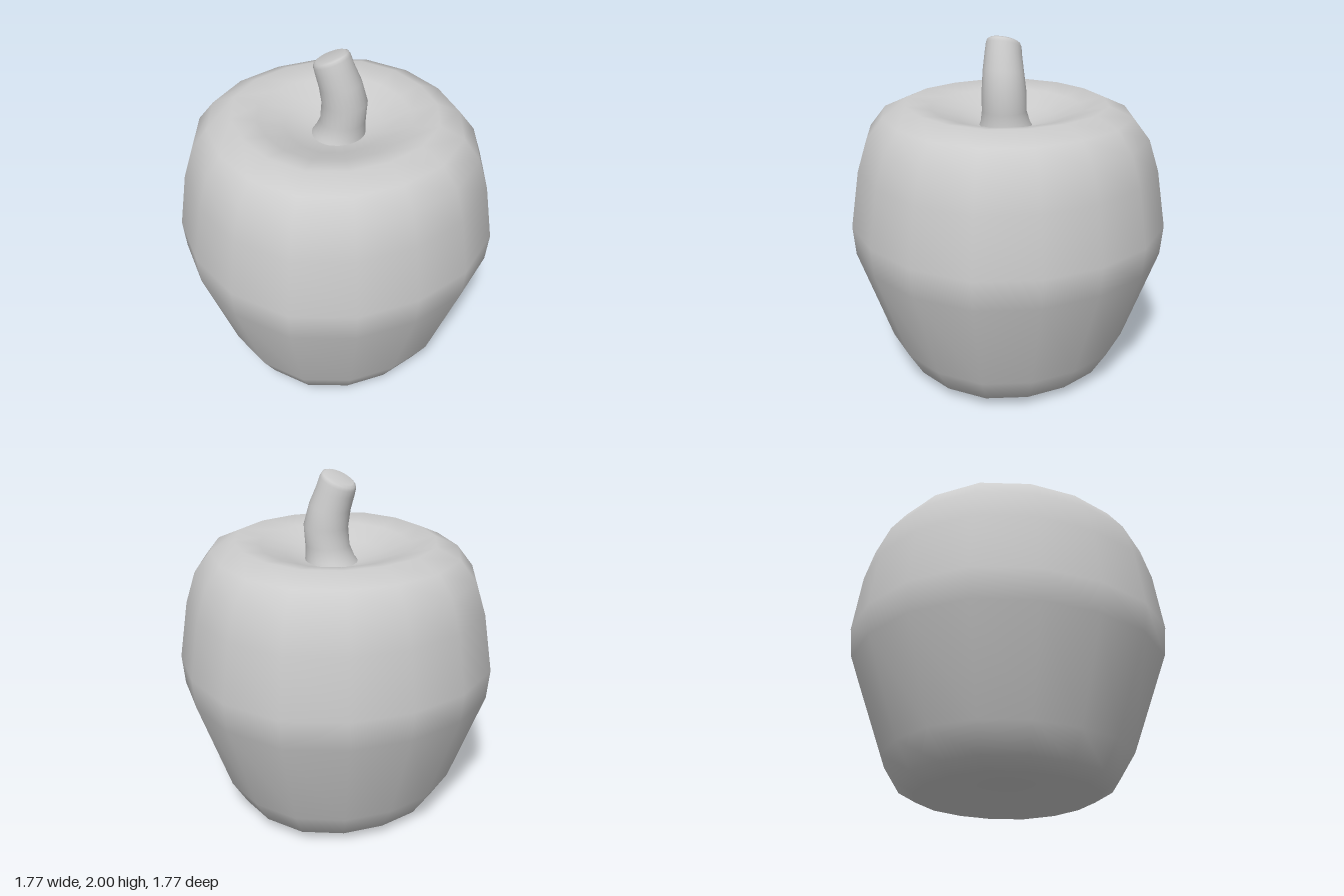
import * as THREE from 'three';
import { mergeVertices } from 'three/addons/utils/BufferGeometryUtils.js';

const material = new THREE.MeshStandardMaterial({ color: 0xcccccc });

// Revolve [radius, y] rows, move each vertex by rule(vertex, row), then weld and smooth.
function revolve(name, rows, sides, rule) {
  let geo = new THREE.LatheGeometry(rows.map(([r, y]) => new THREE.Vector2(r, y)), sides);
  const pos = geo.attributes.position;
  const v = new THREE.Vector3();
  for (let i = 0; i < pos.count; i++) {
    v.fromBufferAttribute(pos, i);
    rule(v, i % rows.length);
    pos.setXYZ(i, v.x, v.y, v.z);
  }
  geo.deleteAttribute('uv');
  geo.deleteAttribute('normal');
  geo = mergeVertices(geo, 1e-4);
  geo.computeVertexNormals();
  const mesh = new THREE.Mesh(geo, material);
  mesh.name = name;
  return mesh;
}

export function createModel() {
  const model = new THREE.Group();
  model.name = 'apple';

  // Body: 16-sided, slightly squarish, dimpled at both ends
  const bodyRows = [
    [0, 0.09], [0.2, 0.07], [0.37, 0.02], [0.49, 0.0], [0.59, 0.06], [0.68, 0.21],
    [0.87, 0.76], [0.885, 0.93], [0.835, 1.26], [0.78, 1.44], [0.69, 1.56],
    [0.56, 1.62], [0.42, 1.59], [0.27, 1.53], [0.14, 1.49], [0, 1.48],
  ];
  model.add(revolve('body', bodyRows, 16, (v) => {
    const s = Math.sin(2 * Math.atan2(v.x, v.z)) ** 2;
    const k = 1 + 0.028 * s + 0.01 * s * s;
    v.x *= k;
    v.z *= k;
  }));

  // Stem: leaning rings with a slanted, softly rounded cap
  const stemRows = [
    [0.165, 1.46], [0.14, 1.51], [0.125, 1.58], [0.125, 1.69], [0.115, 1.8],
    [0.104, 1.89], [0.099, 1.935], [0.092, 1.954], [0.078, 1.963], [0, 1.965],
  ];
  // Per row: [x shift, z shift, tilt]
  const lean = [
    [0.01, 0.01, 0], [0.02, 0.02, 0], [0.03, 0.035, 0], [0.037, 0.04, 0.1], [0.016, 0.03, 0.4],
    [-0.01, 0.012, 0.7], [-0.02, 0.003, 0.95], [-0.025, 0, 1], [-0.027, 0, 1], [-0.027, 0, 1],
  ];
  model.add(revolve('stem', stemRows, 24, (v, row) => {
    const [dx, dz, tilt] = lean[row];
    v.y += tilt * (0.27 * v.x + 0.36 * v.z);
    v.x += dx;
    v.z += dz;
  }));

  return model;
}
